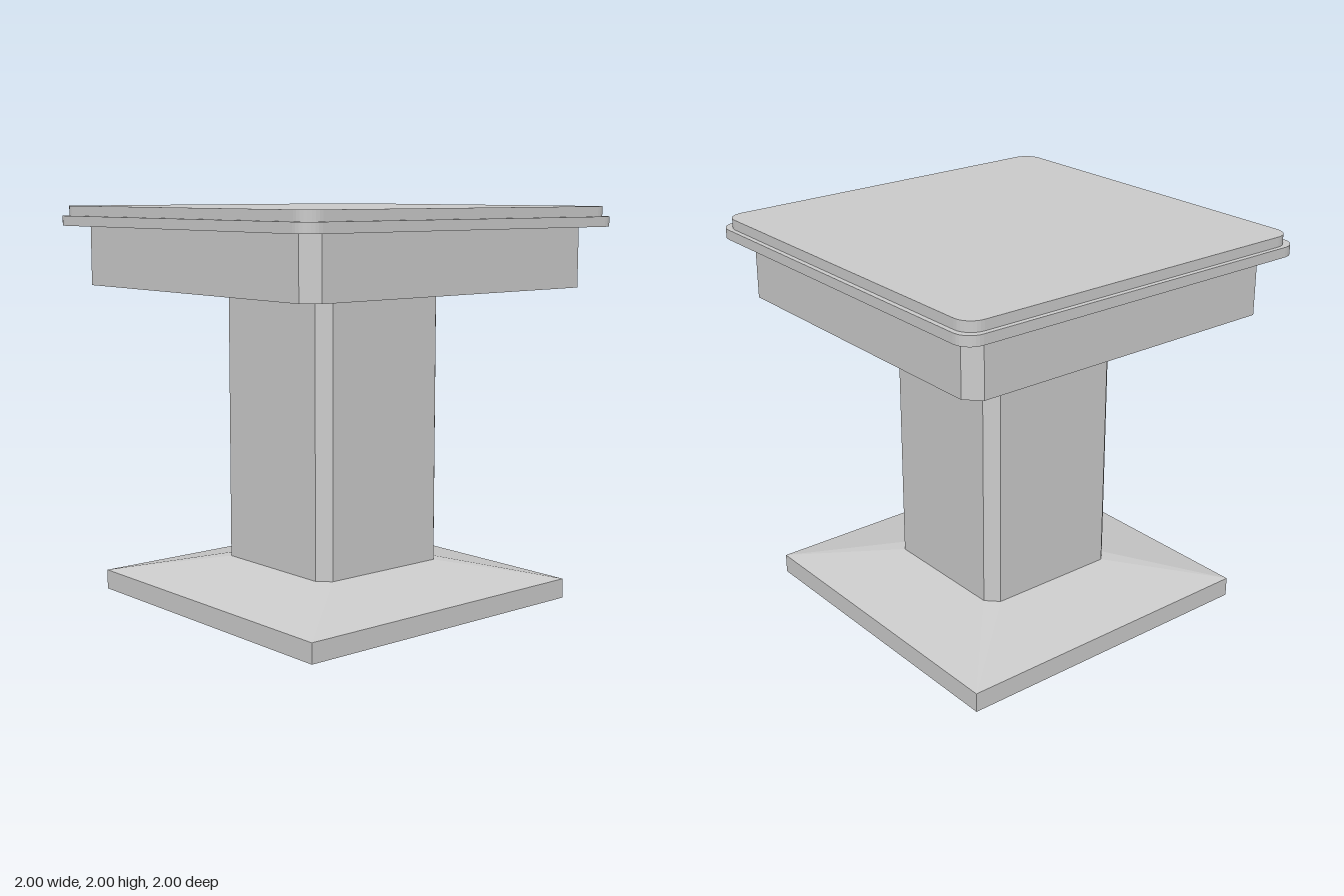
import * as THREE from 'three';

const grey = () => new THREE.MeshStandardMaterial({ color: 0xcccccc, flatShading: true, side: THREE.DoubleSide });

// Square ring of half-width h at height y, corners cut by c
function ring([h, y, c]) {
  const k = h - c;
  return [[h, k], [h, -k], [k, -h], [-k, -h], [-h, -k], [-h, k], [-k, h], [k, h]].map(([x, z]) => [x, y, z]);
}

// Skin a list of rings [half-width, height, corner cut]
function loft(name, profile) {
  const rings = profile.map(ring);
  const same = (p, q) => p.every((v, i) => v === q[i]);
  const pos = [];
  const tri = (a, b, c) => {
    if (!same(a, b) && !same(b, c) && !same(c, a)) pos.push(...a, ...b, ...c);
  };
  for (let r = 0; r < rings.length - 1; r++) {
    for (let i = 0; i < 8; i++) {
      const j = (i + 1) % 8;
      const [a, b, c, d] = [rings[r][i], rings[r][j], rings[r + 1][j], rings[r + 1][i]];
      tri(a, b, c);
      tri(a, c, d);
    }
  }
  const geo = new THREE.BufferGeometry();
  geo.setAttribute('position', new THREE.Float32BufferAttribute(pos, 3));
  geo.computeVertexNormals();
  const mesh = new THREE.Mesh(geo, grey());
  mesh.name = name;
  return mesh;
}

// Flat square slab with rounded corners
function slab(name, h, r, y, thickness) {
  const k = h - r;
  const s = new THREE.Shape();
  s.absarc(k, k, r, 0, Math.PI / 2);
  s.absarc(-k, k, r, Math.PI / 2, Math.PI);
  s.absarc(-k, -k, r, Math.PI, Math.PI * 1.5);
  s.absarc(k, -k, r, Math.PI * 1.5, Math.PI * 2);
  const geo = new THREE.ExtrudeGeometry(s, { depth: thickness, bevelEnabled: false, curveSegments: 4 });
  geo.rotateX(-Math.PI / 2);
  geo.translate(0, y, 0);
  const mesh = new THREE.Mesh(geo, grey());
  mesh.name = name;
  return mesh;
}

export function createModel() {
  const group = new THREE.Group();
  group.name = 'pedestalTable';
  group.add(
    // Hollow foot: low walls and a slope up to the column
    loft('foot', [[0.84, 0, 0], [0.84, 0.1, 0], [0.4, 0.2, 0.06]]),
    // Open tube with cut corners
    loft('column', [[0.4, 0.2, 0.06], [0.4, 1.7, 0.06]]),
    // Skirt with a shallow square recess underneath
    loft('skirt', [[0, 1.7, 0], [0.8, 1.7, 0], [0.8, 1.6, 0], [0.9, 1.6, 0.07], [0.9, 1.9, 0.07]]),
    // Two stacked slabs form the top
    slab('lowerTop', 1, 0.09, 1.9, 0.05),
    slab('upperTop', 0.975, 0.09, 1.95, 0.05)
  );
  return group;
}
